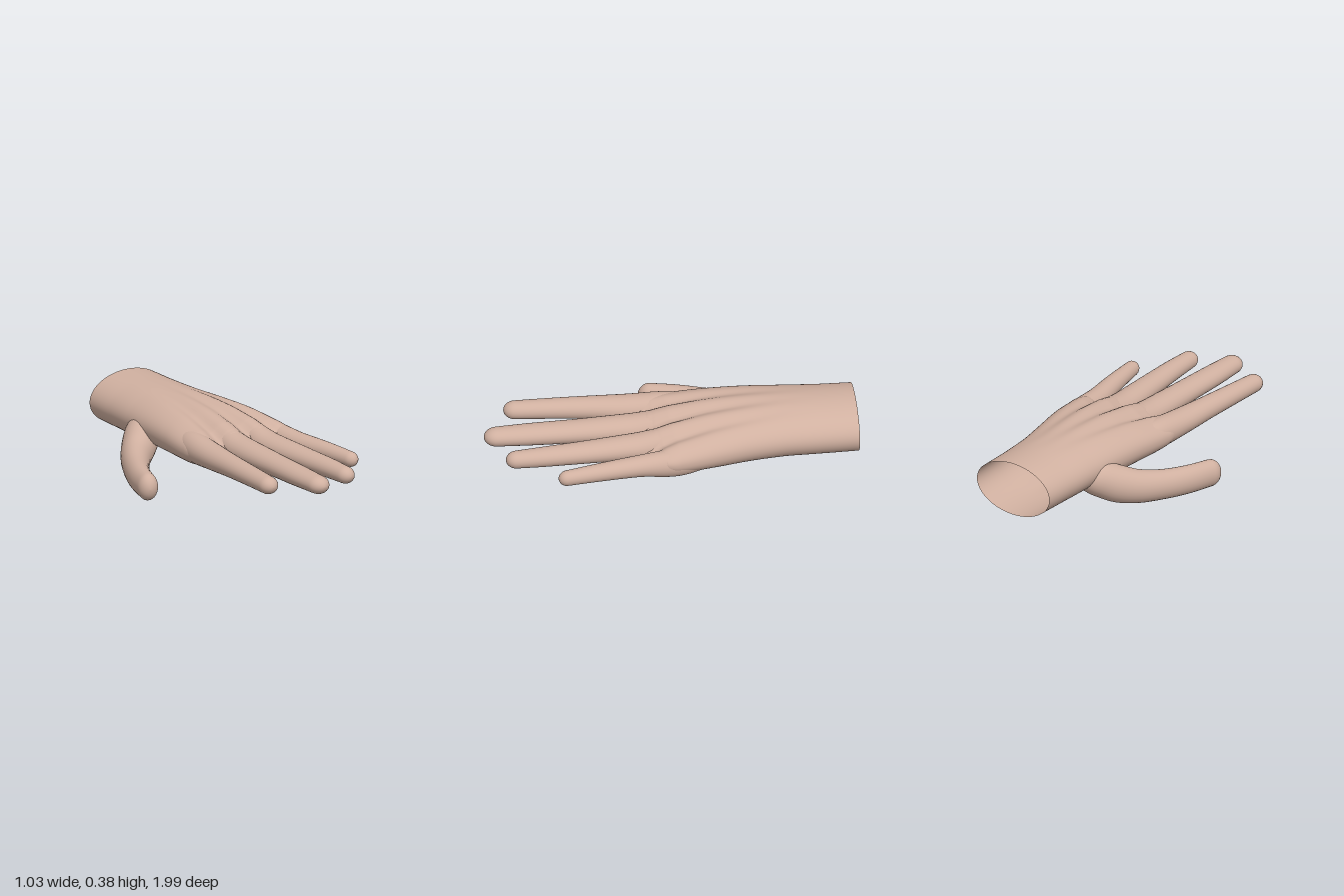
import * as THREE from 'three';

const V = (a) => new THREE.Vector3(...a);

// Smooth sampling of stations: [x, y, z, halfWidth, halfHeight, extra]
function sample(stations, count) {
  const path = new THREE.CatmullRomCurve3(stations.map((s) => V(s.slice(0, 3))));
  const size = new THREE.CatmullRomCurve3(stations.map((s) => V([s[3], s[4], s[5] || 0])));
  return Array.from({ length: count + 1 }, (_, i) => {
    const t = i / count;
    return { p: path.getPoint(t), d: path.getTangent(t), s: size.getPoint(t) };
  });
}

// Skin a list of closed rings of points into one smooth surface
function skin(rings) {
  const n = rings[0].length;
  const pos = [], idx = [];
  rings.forEach((ring) => ring.forEach((p) => pos.push(p.x, p.y, p.z)));
  for (let r = 0; r < rings.length - 1; r++) {
    for (let j = 0; j < n; j++) {
      const a = r * n + j, b = r * n + ((j + 1) % n);
      idx.push(a, b, b + n, a, b + n, a + n);
    }
  }
  const g = new THREE.BufferGeometry();
  g.setAttribute('position', new THREE.Float32BufferAttribute(pos, 3));
  g.setIndex(idx);
  g.computeVertexNormals();
  return g;
}

// Tapered digit along a path, ending in a rounded tip
function digit(stations, sides = 28) {
  const frames = sample(stations, 40);
  const last = frames[frames.length - 1];
  for (let i = 1; i <= 8; i++) {
    const a = (i / 8) * Math.PI / 2;
    const k = Math.max(Math.cos(a), 0.001);
    frames.push({
      p: last.p.clone().addScaledVector(last.d, Math.sin(a) * last.s.x * 1.15),
      d: last.d,
      s: last.s.clone().multiplyScalar(k),
    });
  }
  return skin(frames.map(({ p, d, s }) => {
    const side = new THREE.Vector3(d.z, 0, -d.x).normalize();
    const up = new THREE.Vector3().crossVectors(d, side);
    return Array.from({ length: sides }, (_, j) => {
      const a = (j / sides) * Math.PI * 2;
      return p.clone()
        .addScaledVector(side, Math.cos(a) * s.x)
        .addScaledVector(up, Math.sin(a) * s.y);
    });
  }));
}

// Open wrist and palm; grooves between the fingers deepen towards the knuckles
function palmGeometry() {
  const stations = [
    [0.08, 0.23, -1, 0.24, 0.15, 0],
    [0.08, 0.231, -0.8, 0.245, 0.151, 0],
    [0.08, 0.236, -0.6, 0.257, 0.152, 0.03],
    [0.09, 0.24, -0.4, 0.28, 0.15, 0.1],
    [0.105, 0.237, -0.2, 0.307, 0.142, 0.18],
    [0.115, 0.229, 0, 0.328, 0.122, 0.32],
    [0.12, 0.232, 0.08, 0.33, 0.1, 0.5],
    [0.12, 0.237, 0.14, 0.315, 0.072, 0.8],
    [0.12, 0.24, 0.18, 0.27, 0.02, 0.9],
  ];
  const sides = 128;
  const rings = sample(stations, 72).map(({ p, s }) => {
    const k = THREE.MathUtils.clamp((p.z + 0.6) / 0.75, 0, 1);
    const grooves = [[0, -0.045], [0.1, 0.145], [0.2, 0.322]]
      .map(([a, b]) => THREE.MathUtils.lerp(a, b, k));
    const e = THREE.MathUtils.lerp(1, 0.88, k);
    return Array.from({ length: sides }, (_, j) => {
      const a = (j / sides) * Math.PI * 2;
      const c = Math.cos(a), sn = Math.sin(a);
      const x = p.x + s.x * Math.sign(c) * Math.abs(c) ** e;
      let dip = 0;
      grooves.forEach((g) => { dip += Math.exp(-(((x - g) / 0.042) ** 2)); });
      const y = p.y + s.y * Math.sign(sn) * Math.abs(sn) ** e * (1 - s.z * Math.min(dip, 1));
      return new THREE.Vector3(x, y, p.z - 0.35 * Math.max(0, x - 0.18) * s.z);
    });
  });
  // close the finger end, hidden between the finger roots
  const end = rings[rings.length - 1];
  rings.push(end.map((p) => new THREE.Vector3(p.x, 0.24, p.z + 0.002)));
  return skin(rings);
}

export function createModel() {
  const skinTone = new THREE.MeshStandardMaterial({ color: 0xd0b0a0, side: THREE.DoubleSide });
  skinTone.name = 'skin';
  const hand = new THREE.Group();
  hand.name = 'hand';

  const parts = {
    palm: palmGeometry(),
    indexFinger: digit([
      [-0.1, 0.24, -0.25, 0.05, 0.05],
      [-0.128, 0.237, 0, 0.079, 0.082],
      [-0.142, 0.237, 0.2, 0.078, 0.07],
      [-0.158, 0.242, 0.4, 0.067, 0.06],
      [-0.17, 0.244, 0.6, 0.06, 0.054],
      [-0.18, 0.244, 0.8, 0.053, 0.049],
    ]),
    middleFinger: digit([
      [0.045, 0.235, -0.25, 0.06, 0.07],
      [0.05, 0.232, 0, 0.082, 0.1],
      [0.052, 0.238, 0.2, 0.083, 0.073],
      [0.055, 0.24, 0.5, 0.074, 0.06],
      [0.055, 0.24, 0.75, 0.069, 0.055],
      [0.056, 0.24, 0.925, 0.06, 0.05],
    ]),
    ringFinger: digit([
      [0.18, 0.235, -0.25, 0.06, 0.07],
      [0.215, 0.23, 0, 0.078, 0.1],
      [0.231, 0.235, 0.2, 0.079, 0.07],
      [0.258, 0.237, 0.5, 0.067, 0.057],
      [0.273, 0.237, 0.7, 0.058, 0.052],
      [0.28, 0.236, 0.845, 0.05, 0.047],
    ]),
    littleFinger: digit([
      [0.31, 0.22, -0.25, 0.05, 0.06],
      [0.372, 0.215, -0.02, 0.068, 0.08],
      [0.403, 0.224, 0.2, 0.06, 0.058],
      [0.44, 0.228, 0.4, 0.051, 0.049],
      [0.473, 0.226, 0.595, 0.041, 0.042],
    ]),
    thumb: digit([
      [-0.04, 0.21, -0.61, 0.06, 0.06],
      [-0.13, 0.175, -0.52, 0.098, 0.1],
      [-0.2, 0.135, -0.45, 0.093, 0.103],
      [-0.27, 0.108, -0.37, 0.082, 0.094],
      [-0.35, 0.092, -0.24, 0.07, 0.083],
      [-0.415, 0.086, -0.1, 0.062, 0.079],
      [-0.458, 0.083, 0.04, 0.056, 0.076],
    ]),
  };

  for (const [name, geometry] of Object.entries(parts)) {
    const mesh = new THREE.Mesh(geometry, skinTone);
    mesh.name = name;
    hand.add(mesh);
  }
  return hand;
}
